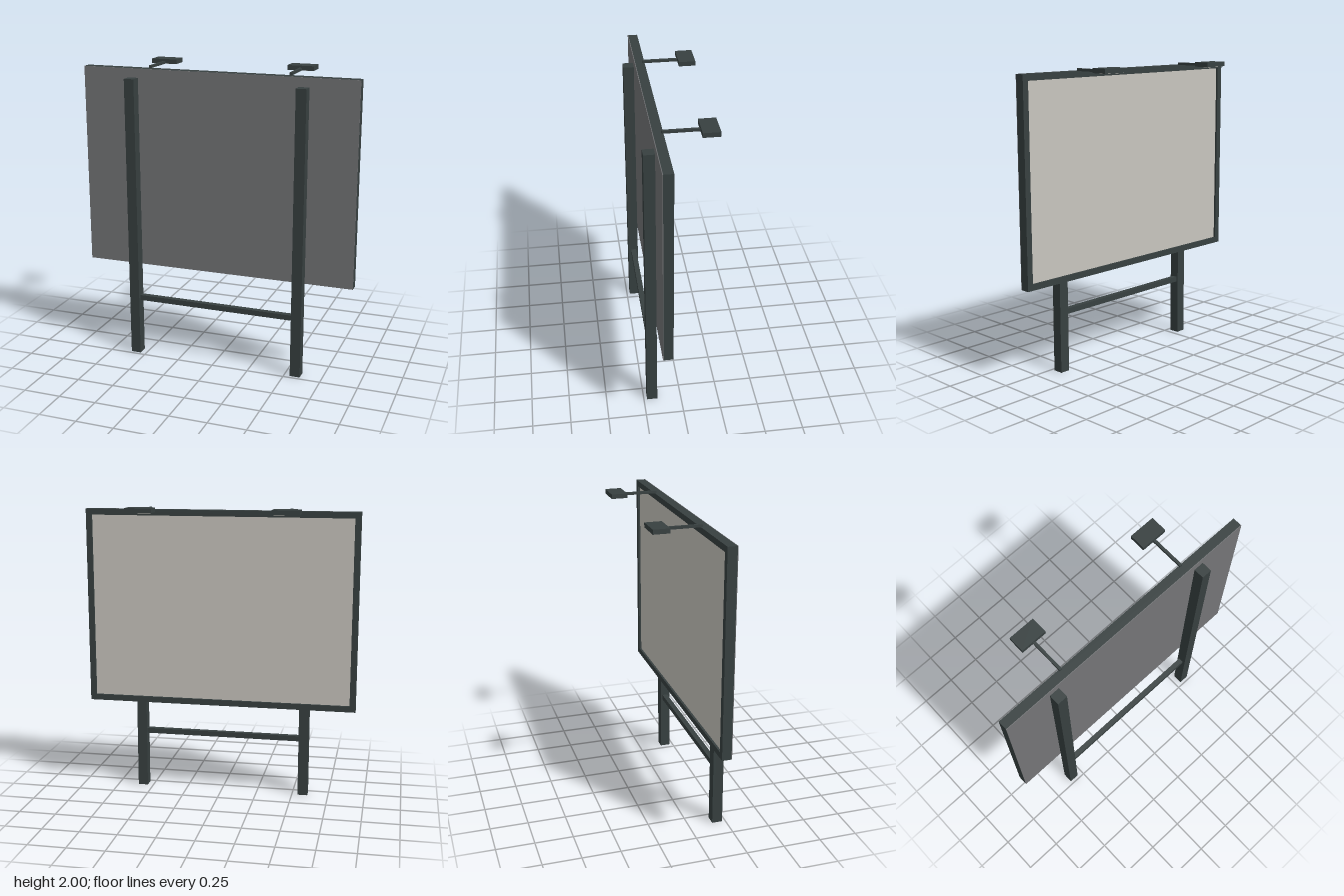
import * as THREE from 'three';

export function createModel() {
  const model = new THREE.Group();
  const material = (name, color) => {
    const m = new THREE.MeshStandardMaterial({ color });
    m.name = name;
    return m;
  };
  const metal = material('dark metal', 0x374040);
  const backing = material('grey backing', 0x747577);
  const pale = material('pale panel', 0xc8c5be);

  // Box given by its minimum and maximum corners
  const box = (name, mat, [x0, y0, z0], [x1, y1, z1]) => {
    const mesh = new THREE.Mesh(new THREE.BoxGeometry(x1 - x0, y1 - y0, z1 - z0), mat);
    mesh.position.set((x0 + x1) / 2, (y0 + y1) / 2, (z0 + z1) / 2);
    mesh.name = name;
    model.add(mesh);
  };

  // Board frame: rectangle with a rectangular opening
  const W = 0.925, bottom = 0.635, top = 1.97, rim = 0.04;
  const corners = (inset) => [
    [-W + inset, bottom + inset], [W - inset, bottom + inset],
    [W - inset, top - inset], [-W + inset, top - inset],
  ].map(([x, y]) => new THREE.Vector2(x, y));
  const outline = new THREE.Shape(corners(0));
  outline.holes.push(new THREE.Path(corners(rim).reverse()));
  const frame = new THREE.Mesh(
    new THREE.ExtrudeGeometry(outline, { depth: 0.061, bevelEnabled: false }), metal);
  frame.position.z = 0.094;
  frame.name = 'boardFrame';
  model.add(frame);

  // Display surface set into the frame, and the flat backing behind it
  box('displayPanel', pale, [-W + rim, bottom + rim, 0.108], [W - rim, top - rim, 0.116]);
  box('backingPanel', backing, [-W, bottom, 0.155], [W, top, 0.159]);

  // Posts and the rail between them
  for (const [side, s] of [['left', 1], ['right', -1]]) {
    const x = s * 0.574;
    box(side + 'Post', metal, [x - 0.034, 0, 0.159], [x + 0.034, 1.91, 0.228]);

    // Lamp on an arm over the top edge, with a lens underneath
    const lx = s * 0.473;
    box(side + 'LampArm', metal, [lx - 0.009, 1.97, -0.125], [lx + 0.009, 1.987, 0.106]);
    box(side + 'LampHead', metal, [lx - 0.088, 1.97, -0.228], [lx + 0.088, 2, -0.12]);
    box(side + 'LampLens', pale, [lx - 0.078, 1.968, -0.218], [lx + 0.078, 1.972, -0.13]);
  }
  box('crossRail', metal, [-0.54, 0.386, 0.172], [0.54, 0.422, 0.208]);

  return model;
}
